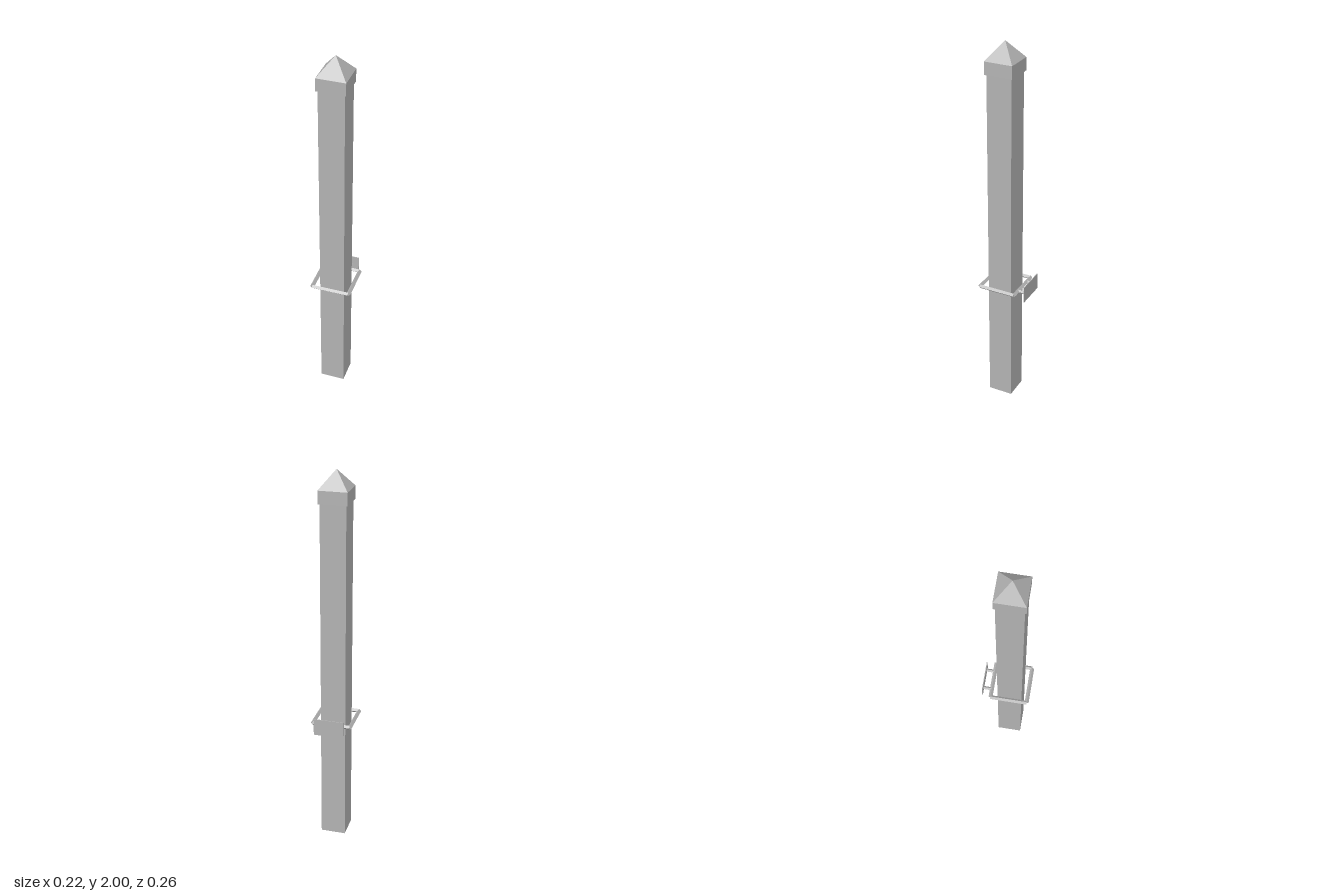
import * as THREE from 'three';

export function createModel() {
  const model = new THREE.Group();
  model.name = 'squarePost';
  const grey = new THREE.MeshStandardMaterial({ color: 0xb2b2b2, flatShading: true, side: THREE.DoubleSide });
  grey.name = 'grey metal';

  const add = (name, geometry, x, y, z) => {
    const mesh = new THREE.Mesh(geometry, grey);
    mesh.name = name;
    mesh.position.set(x, y, z);
    model.add(mesh);
    return mesh;
  };
  // Four-sided prism or pyramid with faces square to the axes
  const square = (topHalf, bottomHalf, height, open) =>
    new THREE.CylinderGeometry(topHalf * Math.SQRT2, bottomHalf * Math.SQRT2, height, 4, 1, open).rotateY(Math.PI / 4);
  // Thin bar of diamond section along x or z
  const bar = (name, radius, length, axis, x, y, z) => {
    const geometry = new THREE.CylinderGeometry(radius, radius, length, 4);
    if (axis === 'x') geometry.rotateZ(Math.PI / 2);
    else geometry.rotateX(Math.PI / 2);
    add(name, geometry, x, y, z);
  };

  const cx = -0.001, cz = 0.018, ringY = 0.681;

  // Hollow shaft, open at the foot
  add('shaft', square(0.066, 0.066, 1.85, true), cx, 0.925, cz);

  // Cap: square collar with a pyramid on top
  add('capCollar', square(0.074, 0.074, 0.066, false), cx, 1.875, cz);
  add('capPyramid', square(0, 0.074, 0.092, true), cx, 1.954, cz);

  // Square ring around the shaft
  for (const side of [-1, 1]) {
    bar(side > 0 ? 'ringFront' : 'ringBack', 0.011, 0.198, 'x', 0, ringY, cz + side * 0.099);
    bar(side > 0 ? 'ringLeft' : 'ringRight', 0.011, 0.198, 'z', side * 0.1, ringY, cz);
    // Stubs joining the ring to the back plate
    bar(side > 0 ? 'stubLeft' : 'stubRight', 0.009, 0.047, 'z', cx + side * 0.051, ringY, -0.1045);
  }

  // Back plate
  add('backPlate', new THREE.BoxGeometry(0.16, 0.09, 0.004), 0, 0.685, -0.129);

  return model;
}
